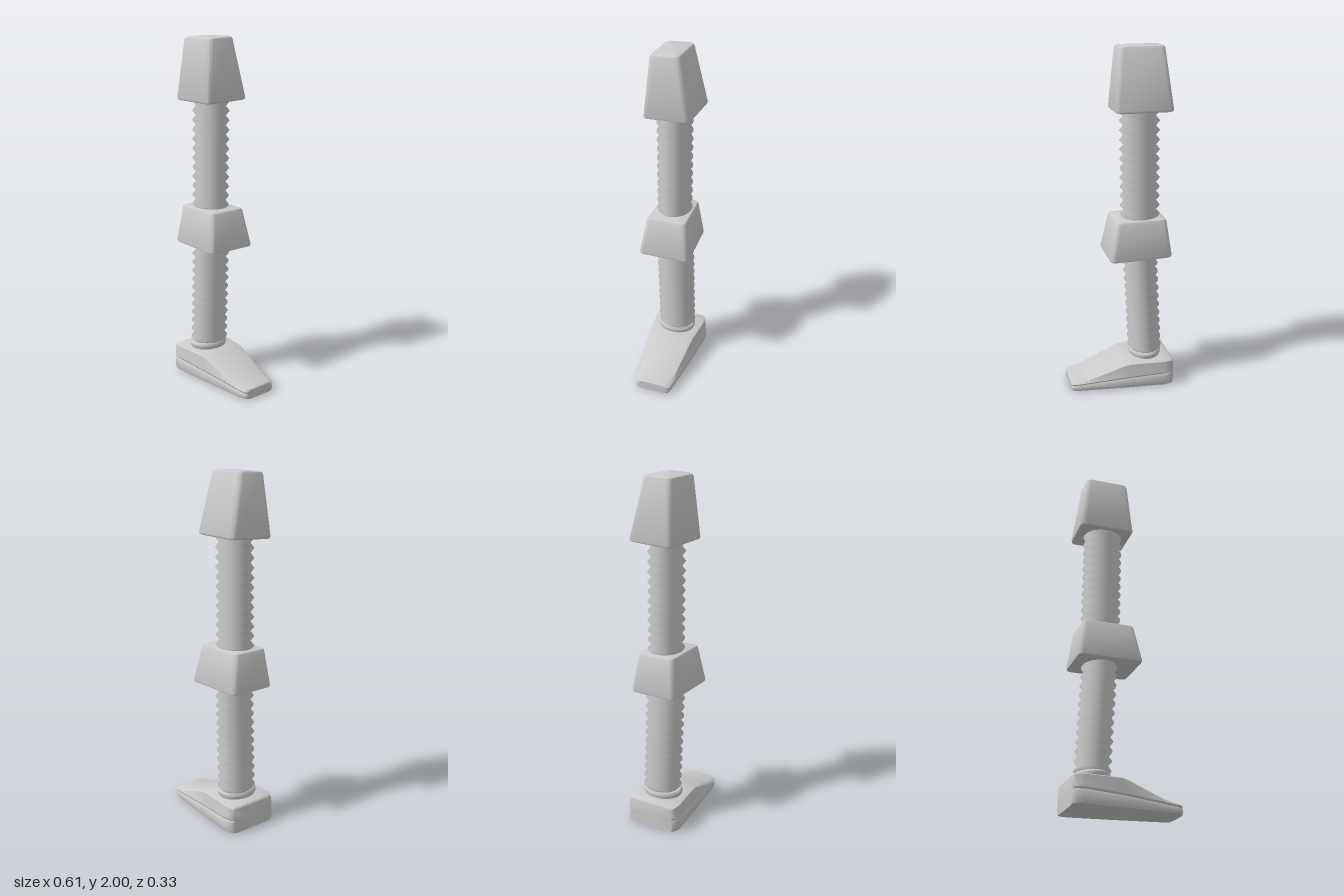
import * as THREE from 'three';
import { toCreasedNormals } from 'three/addons/utils/BufferGeometryUtils.js';

const material = new THREE.MeshStandardMaterial({ color: 0xcccccc });

// Skin a stack of equal-length rings and close both ends
function loft(rings) {
  const n = rings[0].length, pos = [], idx = [];
  rings.forEach(r => r.forEach(p => pos.push(...p)));
  for (let i = 0; i < rings.length - 1; i++) {
    for (let j = 0; j < n; j++) {
      const a = i * n + j, b = i * n + (j + 1) % n;
      idx.push(a, a + n, b, b, a + n, b + n);
    }
  }
  [0, rings.length - 1].forEach(i => {
    const centre = [0, 1, 2].map(k => rings[i].reduce((s, p) => s + p[k], 0) / n);
    const c = pos.length / 3;
    pos.push(...centre);
    for (let j = 0; j < n; j++) {
      const a = i * n + j, b = i * n + (j + 1) % n;
      if (i === 0) idx.push(c, a, b); else idx.push(c, b, a);
    }
  });
  const g = new THREE.BufferGeometry();
  g.setAttribute('position', new THREE.Float32BufferAttribute(pos, 3));
  g.setIndex(idx);
  return toCreasedNormals(g, 0.6);
}

// Rounded rectangle lying at height y
function roundRect(x0, x1, z0, z1, y, r) {
  const ring = [], steps = 5;
  const corners = [[x1 - r, z1 - r], [x0 + r, z1 - r], [x0 + r, z0 + r], [x1 - r, z0 + r]];
  corners.forEach(([cx, cz], q) => {
    for (let k = 0; k <= steps; k++) {
      const a = (q + k / steps) * Math.PI / 2;
      ring.push([cx + r * Math.cos(a), y, cz + r * Math.sin(a)]);
    }
  });
  return ring;
}

// Tapered block with bevelled edges; base and top are [x0, x1, z0, z1, y]
function block(base, top, bevel, warp) {
  const at = (t, inset) => {
    const [x0, x1, z0, z1, y] = base.map((v, i) => v + (top[i] - v) * t);
    return roundRect(x0 + inset, x1 - inset, z0 + inset, z1 - inset, y, 0.028 - inset * 0.5);
  };
  const e = bevel / (top[4] - base[4]);
  const rings = [at(0, bevel), at(e * 0.3, bevel * 0.3), at(e, 0),
    at(1 - e, 0), at(1 - e * 0.3, bevel * 0.3), at(1, bevel)];
  return loft(rings.map(r => r.map(warp)));
}

// Pleated tube between two heights whose centre drifts along x and z
function bellows(y0, y1, from, to, rx, rz, pleats) {
  const pts = [], depth = 0.2;
  for (let i = 0; i <= pleats * 2; i++) {
    pts.push(new THREE.Vector2(i % 2 ? 1 : 1 - depth, y0 + (y1 - y0) * i / (pleats * 2)));
  }
  const g = new THREE.LatheGeometry(pts, 40);
  g.scale(rx, 1, rz);
  const p = g.attributes.position;
  for (let i = 0; i < p.count; i++) {
    const t = (p.getY(i) - y0) / (y1 - y0);
    p.setX(i, p.getX(i) + from[0] + (to[0] - from[0]) * t);
    p.setZ(i, p.getZ(i) + from[1] + (to[1] - from[1]) * t);
  }
  return g;
}

// Foot: cross-sections from heel to toe as [x, half width, seam height, top height]
function foot() {
  const stations = [
    [-0.307, 0.138, 0.08, 0.15], [-0.3, 0.149, 0.08, 0.158], [-0.28, 0.16, 0.08, 0.163],
    [-0.245, 0.165, 0.08, 0.164], [-0.05, 0.148, 0.068, 0.164], [-0.015, 0.145, 0.066, 0.158],
    [0.2, 0.121, 0.046, 0.078], [0.24, 0.117, 0.042, 0.068], [0.28, 0.111, 0.039, 0.063],
    [0.299, 0.103, 0.037, 0.06], [0.306, 0.092, 0.036, 0.055],
  ];
  return loft(stations.map(([x, w, s, t]) => {
    const half = [[w - 0.018, 0], [w - 0.004, 0.006], [w, 0.016], [w, s - 0.01], [w - 0.006, s],
      [w, s + 0.01], [w - 0.008, t - 0.008], [w - 0.025, t]];
    return [...half.map(([z, y]) => [x, y, z]),
      ...half.slice().reverse().map(([z, y]) => [x, y, -z])];
  }));
}

// Rounded collar ring at the ankle
function collar() {
  const profile = [[0, 0.15], [0.94, 0.15], [0.96, 0.168], [1, 0.176], [1, 0.19], [0.94, 0.2], [0, 0.2]];
  const g = new THREE.LatheGeometry(profile.map(p => new THREE.Vector2(...p)), 40);
  g.scale(0.095, 1, 0.116);
  g.translate(-0.163, 0, 0);
  return toCreasedNormals(g, 0.6);
}

export function createModel() {
  const group = new THREE.Group();
  const add = (name, geometry) => {
    const mesh = new THREE.Mesh(geometry, material);
    mesh.name = name;
    group.add(mesh);
  };

  add('foot', foot());
  add('ankleCollar', collar());
  add('lowerBellows', bellows(0.19, 0.83, [-0.163, -0.005], [-0.13, 0.003], 0.1, 0.112, 12));

  // Knee block widens slightly toward the toe side
  add('kneeBlock', block([-0.292, 0.076, -0.144, 0.158, 0.81], [-0.262, 0.032, -0.108, 0.126, 1.038], 0.014,
    ([x, y, z]) => [x, y, z * (1 + 0.25 * (x - 0.04))]));

  add('upperBellows', bellows(1.02, 1.67, [-0.13, 0.006], [-0.122, 0.006], 0.114, 0.1, 12));

  // Thigh block is twisted and tipped a little
  add('thighBlock', block([-0.288, 0.034, -0.134, 0.135, 1.648], [-0.248, 0.004, -0.059, 0.105, 1.997], 0.014,
    ([x, y, z]) => [x - 0.04 * z, y - 0.05 * z, z + 0.04 * (x + 0.125)]));

  return group;
}
